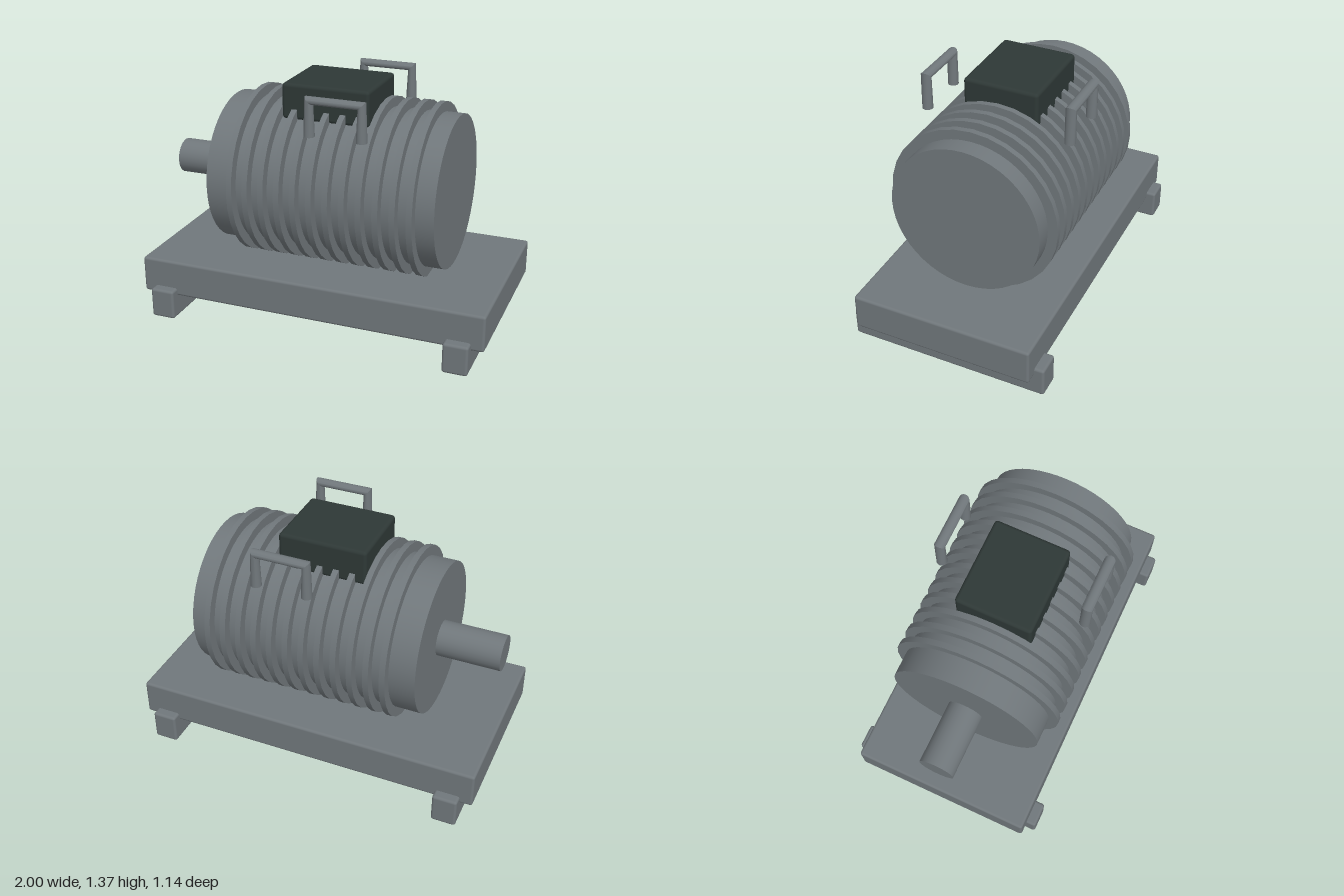
import * as THREE from 'three';
import { RoundedBoxGeometry } from 'three/addons/geometries/RoundedBoxGeometry.js';
import { toCreasedNormals } from 'three/addons/utils/BufferGeometryUtils.js';

const steel = new THREE.MeshStandardMaterial({ name: 'steel grey', color: 0x70777b });
const dark = new THREE.MeshStandardMaterial({ name: 'dark green grey', color: 0x2e3836 });

const AXIS_Y = 0.788;

export function createModel() {
  const group = new THREE.Group();
  group.name = 'electricMotor';

  const add = (name, geometry, material, x, y, z) => {
    const mesh = new THREE.Mesh(geometry, material);
    mesh.name = name;
    mesh.position.set(x, y, z);
    group.add(mesh);
    return mesh;
  };
  const box = (name, material, w, h, d, r, x, y, z) =>
    add(name, new RoundedBoxGeometry(w, h, d, 2, r), material, x, y, z);
  // Cylinder lying along x between x0 and x1
  const drum = (name, radius, x0, x1, sides) =>
    add(name, new THREE.CylinderGeometry(radius, radius, x1 - x0, sides).rotateZ(Math.PI / 2),
      steel, (x0 + x1) / 2, AXIS_Y, 0);

  // Base plate and cross feet
  box('basePlate', steel, 2, 0.208, 1.03, 0.015, 0, 0.231, 0);
  for (const s of [-1, 1]) box('foot', steel, 0.14, 0.172, 1.14, 0.015, s * 0.86, 0.086, 0);

  // Motor body, drive shaft and cooling fins
  drum('motorBody', 0.428, -0.615, 0.685, 48);
  drum('driveShaft', 0.1, -0.972, -0.6, 24);
  for (let i = 0; i < 12; i++) {
    const x = -0.453 + i * 0.0927;
    drum('coolingFin', 0.484, x - 0.016, x + 0.016, 32);
  }

  // Terminal box
  box('terminalBox', dark, 0.5, 0.2, 0.43, 0.02, 0, 1.26, 0);

  // Lifting handles
  for (const s of [-1, 1]) add('liftingHandle', handleGeometry(), steel, 0.14, 1.15, s * 0.415);

  return group;
}

// Bent bar: the four rings of a cylinder are placed along a square arch
function handleGeometry() {
  const path = [[-0.145, 0], [-0.145, 0.195], [0.145, 0.195], [0.145, 0]];
  const angles = [0, -Math.PI / 4, -Math.PI * 3 / 4, -Math.PI];
  const geometry = new THREE.CylinderGeometry(0.03, 0.03, 1, 16, 3);
  const p = geometry.attributes.position;
  for (let i = 0; i < p.count; i++) {
    const k = Math.round((p.getY(i) + 0.5) * 3);
    const r = p.getX(i);
    p.setXYZ(i, path[k][0] + r * Math.cos(angles[k]), path[k][1] + r * Math.sin(angles[k]), p.getZ(i));
  }
  return toCreasedNormals(geometry, 0.6);
}
